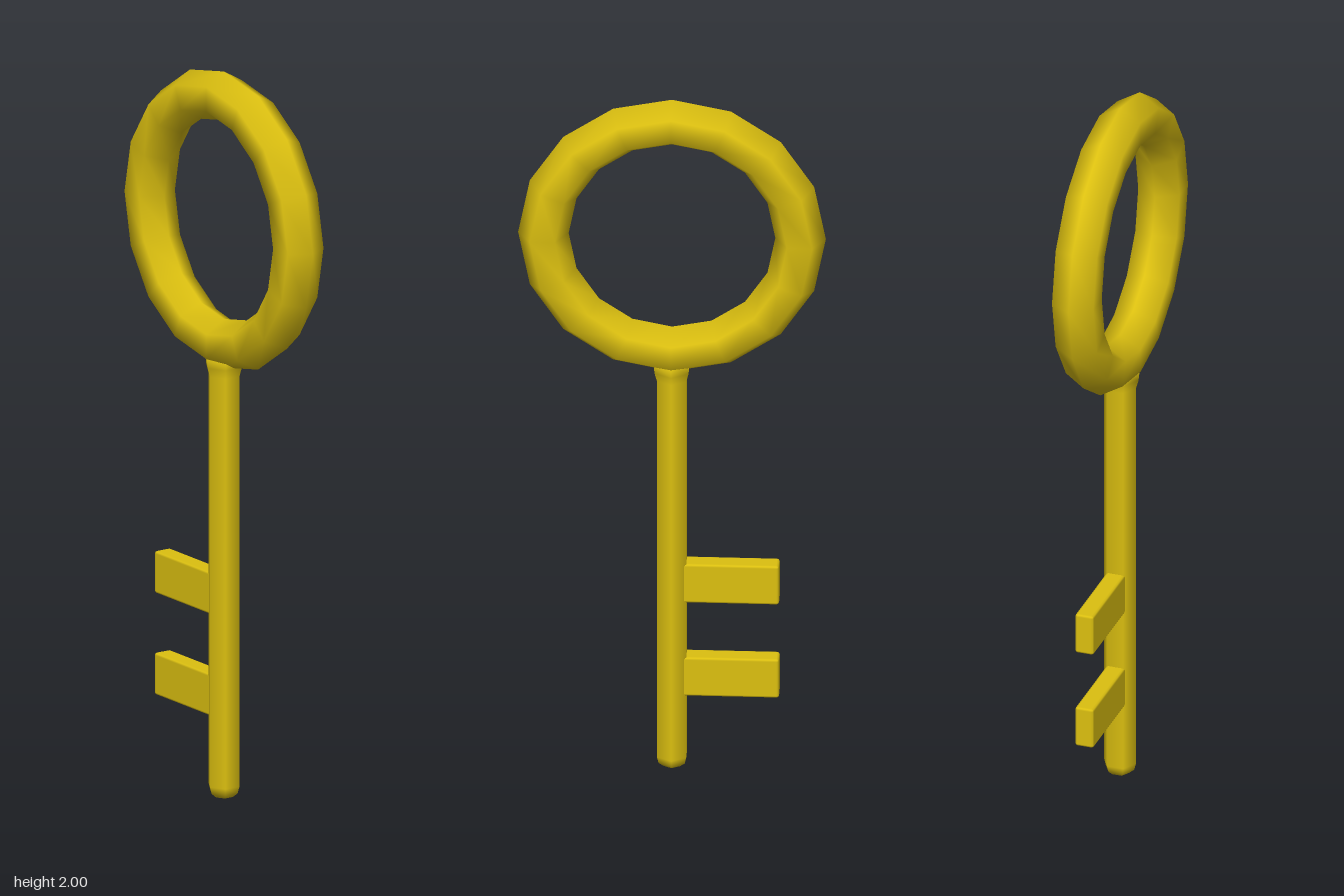
import * as THREE from 'three';
import { RoundedBoxGeometry } from 'three/addons/geometries/RoundedBoxGeometry.js';

export function createModel() {
  const key = new THREE.Group();
  key.name = 'key';
  const gold = new THREE.MeshStandardMaterial({ color: 0xdcc010 });

  const add = (name, geometry, x, y) => {
    const mesh = new THREE.Mesh(geometry, gold);
    mesh.name = name;
    mesh.position.set(x, y, 0);
    key.add(mesh);
  };

  // Ring handle: six-sided tube bent into sixteen segments
  add('ringHandle', new THREE.TorusGeometry(0.341, 0.067, 6, 16), 0, 1.592);

  // Hexagonal shaft with a chamfered tip, flaring slightly into the ring
  const profile = [
    [0, 0.004], [0.026, 0.004], [0.04, 0.016], [0.045, 0.035],
    [0.045, 1.165], [0.052, 1.19], [0.056, 1.225], [0, 1.24],
  ].map(([r, y]) => new THREE.Vector2(r, y));
  profile[0].y = 0;
  add('shaft', new THREE.LatheGeometry(profile, 6), 0, 0);

  // Two flat teeth on the right side, rooted inside the shaft
  const toothLength = 0.285;
  [['upperTooth', 0.559], ['lowerTooth', 0.279]].forEach(([name, y]) => {
    add(name, new RoundedBoxGeometry(toothLength, 0.116, 0.052, 1, 0.007), -toothLength / 2, y);
  });

  return key;
}
